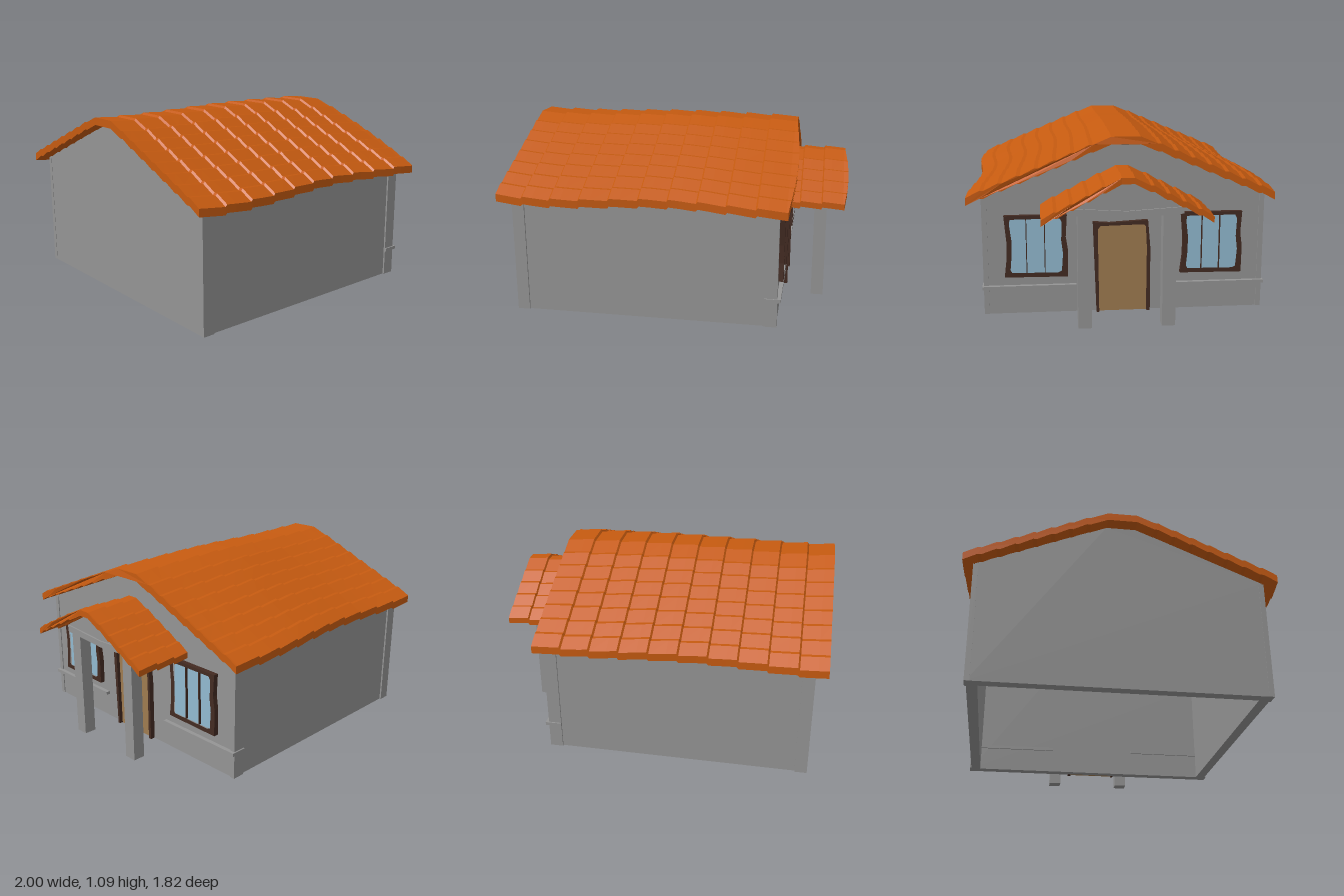
import * as THREE from 'three';

const mat = (name, color, extra = {}) => {
  const m = new THREE.MeshStandardMaterial({ color, ...extra });
  m.name = name;
  return m;
};

// Joins cross-sections [z, y, dx] (counter-clockwise seen from +x) along x.
function loft(section, xs) {
  const rings = xs.map(x => section(x).map(([z, y, dx = 0]) => [x + dx, y, z]));
  const pos = [];
  const tri = (a, b, c) => pos.push(...a, ...b, ...c);
  for (let s = 0; s < rings.length - 1; s++) {
    const A = rings[s], B = rings[s + 1];
    A.forEach((a, i) => {
      const j = (i + 1) % A.length;
      tri(a, A[j], B[i]);
      tri(A[j], B[j], B[i]);
    });
  }
  const cap = (ring, flip) => {
    const contour = ring.map(p => new THREE.Vector2(-p[2], p[1]));
    for (const [a, b, c] of THREE.ShapeUtils.triangulateShape(contour, [])) {
      if (flip) tri(ring[a], ring[c], ring[b]);
      else tri(ring[a], ring[b], ring[c]);
    }
  };
  cap(rings[0], true);
  cap(rings[rings.length - 1], false);
  const g = new THREE.BufferGeometry();
  g.setAttribute('position', new THREE.Float32BufferAttribute(pos, 3));
  g.computeVertexNormals();
  return g;
}

// Stepped rows of tiles from the ridge down both slopes, rippled column by column.
function tiledRoof(o) {
  const colW = (o.x1 - o.x0) / o.cols;
  const stations = [];
  for (let c = 0; c < o.cols; c++) {
    const a = o.x0 + c * colW;
    stations.push([a, 1], [a + colW * 0.35, 0.3], [a + colW * 0.94, -1]);
  }
  stations.push([o.x1, -1]);
  const ripple = new Map(stations);
  const section = x => {
    const lift = ripple.get(x) * o.ripple + Math.sin(x * 4.5 + 1.6) * o.sag;
    const slope = (ridgeZ, eaveZ, bulge) => {
      const pts = [[ridgeZ, o.ridgeY + lift, 0]];
      for (let k = 0; k < o.rows; k++) {
        const z = t => ridgeZ + (eaveZ - ridgeZ) * (k + t) / o.rows;
        const y = t => o.ridgeY + lift + (o.eaveY - o.ridgeY) * (k + t) / o.rows;
        const dx = t => x === o.x1 ? bulge * Math.sin(Math.PI * (k + t) / o.rows) : 0;
        if (k > 0) pts.push([z(0.22), y(0), dx(0.22)]);
        pts.push([z(1), y(1), dx(1)]);
      }
      return pts;
    };
    const front = slope(o.ridge[0], o.eave[0](x), o.bulge);
    const back = slope(o.ridge[1], o.eave[1](x), 0);
    const top = [...front.reverse(), ...back];
    const under = top.map(([z, y, dx]) => [z, y - o.thick, dx]);
    return [...under, ...top.reverse()];
  };
  return loft(section, stations.map(s => s[0]));
}

// Plate drawn in (z, y), thickened along x.
function plate(points, x0, depth, hole) {
  const v = p => p.map(([z, y]) => new THREE.Vector2(-z, y));
  const shape = new THREE.Shape(v(points));
  if (hole) shape.holes.push(new THREE.Path(v(hole)));
  return new THREE.ExtrudeGeometry(shape, { depth, bevelEnabled: false })
    .rotateY(Math.PI / 2).translate(x0, 0, 0);
}

const block = (x0, x1, y0, y1, z0, z1) => new THREE.BoxGeometry(x1 - x0, y1 - y0, z1 - z0)
  .translate((x0 + x1) / 2, (y0 + y1) / 2, (z0 + z1) / 2);

export function createModel() {
  const house = new THREE.Group();
  house.name = 'house';
  const wall = mat('grey plaster', 0x949494);
  const tile = mat('orange roof tile', 0xc55a10, { flatShading: true });
  const wood = mat('dark brown wood', 0x432b22);
  const doorMat = mat('tan door', 0x9f7b50);
  const glass = mat('blue glass', 0x92bad0);
  const add = (name, geometry, material) => {
    const m = new THREE.Mesh(geometry, material);
    m.name = name;
    house.add(m);
  };

  // Hollow walls, open at the base and under the roof
  const gable = [[0.81, 0.01], [0.81, 0.725], [0.07, 1.035], [-0.1, 1.035], [-0.84, 0.725], [-0.84, 0.01]];
  add('rightGableWall', plate(gable, 0.56, 0.06), wall);
  add('leftGableWall', plate(gable, -0.93, 0.06), wall);
  add('frontWall', block(-0.87, 0.56, 0.01, 0.725, 0.75, 0.81), wall);
  add('backWall', block(-0.87, 0.56, 0.01, 0.725, -0.84, -0.78), wall);

  // Corner posts
  for (const [x0, x1] of [[-0.932, -0.86], [0.55, 0.626]]) {
    add('cornerPost', block(x0, x1, 0.01, 0.72, 0.79, 0.82), wall);
    add('cornerPost', block(x0, x1, 0.01, 0.72, -0.85, -0.82), wall);
  }

  // Sill trim, wrapping round the corners beside the porch
  add('sillTrim', block(0.55, 0.645, 0.165, 0.185, 0.275, 0.828), wall);
  add('sillTrim', block(0.55, 0.645, 0.16, 0.18, -0.858, -0.28), wall);

  // Main roof
  add('mainRoof', tiledRoof({
    x0: -1, x1: 0.675, cols: 10, rows: 8, ridge: [0.07, -0.1], ridgeY: 1.08, eaveY: 0.74,
    eave: [x => 0.878 - 0.026 * Math.cos(x * 4.6), x => -0.89 - 0.022 * Math.sin(x * 4)],
    thick: 0.045, ripple: 0.006, sag: 0.006, bulge: 0.03
  }), tile);

  // Porch roof
  add('porchRoof', tiledRoof({
    x0: 0.6, x1: 0.98, cols: 3, rows: 5, ridge: [0.04, -0.03], ridgeY: 0.895, eaveY: 0.67,
    eave: [() => 0.48, () => -0.47],
    thick: 0.035, ripple: 0.006, sag: 0.004, bulge: 0.02
  }), tile);

  // Porch pediment, beam and posts
  add('pediment', plate([[0.31, 0.68], [0.31, 0.71], [0.04, 0.855], [-0.03, 0.855], [-0.32, 0.71], [-0.32, 0.68]],
    0.61, 0.26), wall);
  add('porchBeam', plate([[0.315, 0.66], [0.32, 0.7], [0, 0.68], [-0.325, 0.7], [-0.32, 0.66], [0, 0.642]],
    0.61, 0.27), wall);
  for (const z of [0.2, -0.28]) add('porchPost', block(0.805, 0.88, 0, 0.67, z, z + 0.077), wall);

  // Door with its frame
  add('doorFrame', plate([[0.155, 0.01], [0.175, 0.565], [0.08, 0.557], [-0.15, 0.57], [-0.165, 0.4], [-0.165, 0.01],
    [-0.145, 0.01], [-0.147, 0.4], [-0.14, 0.53], [-0.125, 0.545], [0.13, 0.54], [0.147, 0.52], [0.14, 0.01]],
  0.61, 0.04), wood);
  add('door', block(0.61, 0.628, 0.01, 0.55, -0.15, 0.15), doorMat);

  // Windows with wavy frames and thin glazing bars
  for (const c of [0.51, -0.53]) {
    const outer = [[0.183, 0.612], [-0.183, 0.612], [-0.175, 0.48], [-0.187, 0.4], [-0.185, 0.238],
      [0.185, 0.242], [0.172, 0.35], [0.17, 0.46]];
    const inner = [[0.148, 0.59], [-0.14, 0.592], [-0.153, 0.57], [-0.148, 0.46], [-0.158, 0.38], [-0.15, 0.275],
      [-0.13, 0.265], [0.14, 0.268], [0.15, 0.285], [0.143, 0.36], [0.14, 0.46], [0.152, 0.56]];
    const move = p => p.map(([z, y]) => [z + c, y]);
    add('windowFrame', plate(move(outer), 0.61, 0.04, move(inner)), wood);
    add('windowGlass', block(0.618, 0.627, 0.255, 0.6, c - 0.165, c + 0.165), glass);
    for (const z of [-0.052, 0.055]) {
      add('glazingBar', block(0.62, 0.642, 0.26, 0.6, c + z - 0.0025, c + z + 0.0025), wood);
    }
  }
  return house;
}
